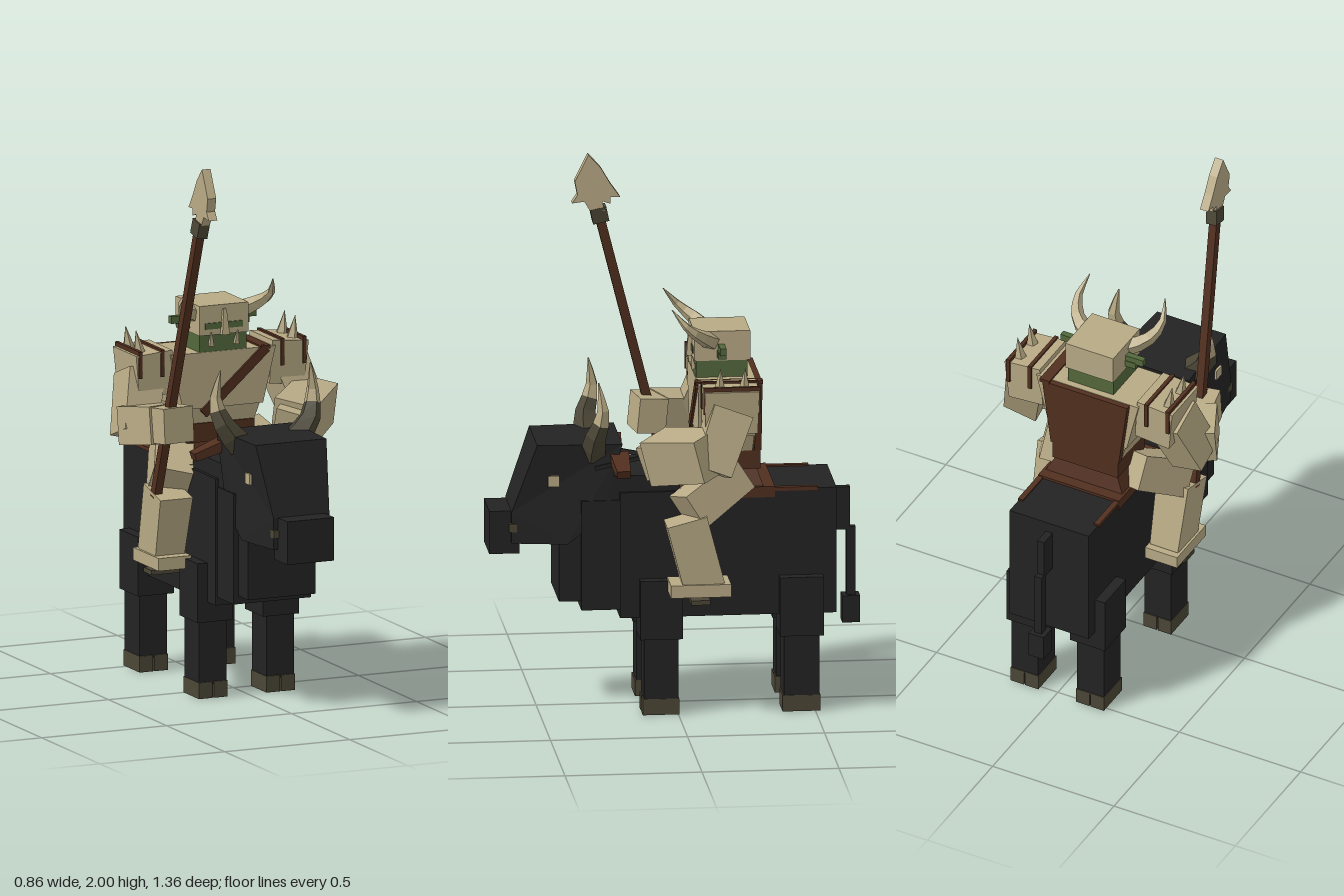
import * as THREE from 'three';

const material = (name, color) => {
  const m = new THREE.MeshStandardMaterial({ color });
  m.name = name;
  return m;
};

export function createModel() {
  const bone = material('bone', 0xb8aa85);
  const hide = material('blackHide', 0x232323);
  const leather = material('leather', 0x512f1e);
  const skin = material('greenSkin', 0x53683c);
  const hoofMat = material('hoof', 0x4b4636);

  const model = new THREE.Group();
  model.name = 'bullRider';
  const beast = new THREE.Group();
  beast.name = 'bull';
  const rider = new THREE.Group();
  rider.name = 'rider';
  model.add(beast, rider);
  model.position.x = -0.007;

  const add = (parent, name, geometry, mat) => {
    const flat = geometry.index ? geometry.toNonIndexed() : geometry;
    flat.computeVertexNormals();
    const mesh = new THREE.Mesh(flat, mat);
    mesh.name = name;
    parent.add(mesh);
    return mesh;
  };
  // Box given by its lower and upper limits
  const box = (parent, name, mat, x0, x1, y0, y1, z0, z1) => {
    const g = new THREE.BoxGeometry(x1 - x0, y1 - y0, z1 - z0);
    g.translate((x0 + x1) / 2, (y0 + y1) / 2, (z0 + z1) / 2);
    return add(parent, name, g, mat);
  };
  // Tapered box running from point a to point b
  const beam = (parent, name, mat, a, b, w0, d0, w1 = w0, d1 = d0) => {
    const from = new THREE.Vector3(...a), to = new THREE.Vector3(...b);
    const dir = to.clone().sub(from), length = dir.length();
    dir.normalize();
    const g = new THREE.BoxGeometry(1, length, 1);
    const p = g.attributes.position;
    for (let i = 0; i < p.count; i++) {
      const end = p.getY(i) > 0;
      p.setX(i, p.getX(i) * (end ? w1 : w0));
      p.setZ(i, p.getZ(i) * (end ? d1 : d0));
    }
    const ref = Math.abs(dir.x) > 0.9 ? new THREE.Vector3(0, 0, 1) : new THREE.Vector3(1, 0, 0);
    const x = ref.addScaledVector(dir, -ref.dot(dir)).normalize();
    const z = x.clone().cross(dir);
    g.applyMatrix4(new THREE.Matrix4().makeBasis(x, dir, z));
    g.translate(...from.add(to).multiplyScalar(0.5).toArray());
    return add(parent, name, g, mat);
  };
  // Side profile of [z, y] points, extruded across x
  const profile = (points, width) => {
    const shape = new THREE.Shape(points.map(([z, y]) => new THREE.Vector2(z, y)));
    const g = new THREE.ExtrudeGeometry(shape, { depth: width, bevelEnabled: false });
    return g.translate(0, 0, -width / 2).rotateY(-Math.PI / 2);
  };
  // Curved horn narrowing to a point, darker over the first rings
  const horn = (parent, name, points, radius, darkRings) => {
    const curve = new THREE.CatmullRomCurve3(points.map(p => new THREE.Vector3(...p)));
    const rings = 6, sides = 5;
    const g = new THREE.TubeGeometry(curve, rings, radius, sides);
    const p = g.attributes.position, v = new THREE.Vector3();
    for (let i = 0; i < p.count; i++) {
      const t = Math.floor(i / (sides + 1)) / rings, c = curve.getPointAt(t);
      v.fromBufferAttribute(p, i).sub(c).multiplyScalar(1 - 0.96 * t ** 1.3).add(c);
      p.setXYZ(i, v.x, v.y, v.z);
    }
    const split = darkRings * sides * 6;
    g.addGroup(0, split, 0);
    g.addGroup(split, rings * sides * 6 - split, 1);
    add(parent, name, g, [hoofMat, bone]);
  };
  // Two mirrored groups, the first on the model's left
  const mirrored = (parent, name, build) => [1, -1].forEach(s => {
    const g = new THREE.Group();
    g.name = (s > 0 ? 'left' : 'right') + name;
    g.scale.x = s;
    parent.add(g);
    build(g);
  });

  // Bull body, chest and neck
  box(beast, 'barrel', hide, -0.163, 0.163, 0.36, 0.83, -0.58, 0.21);
  box(beast, 'chest', hide, -0.155, 0.155, 0.39, 0.8, 0.2, 0.35);
  box(beast, 'brisket', hide, -0.135, 0.135, 0.42, 0.68, 0.34, 0.43);
  box(beast, 'neck', hide, -0.15, 0.15, 0.8, 0.89, -0.01, 0.26);

  // Wedge head, narrower toward the muzzle
  const headShape = profile([[0.2, 1.01], [0.28, 0.73], [0.4, 0.637], [0.6, 0.637], [0.6, 0.755], [0.51, 1.01]], 0.31);
  const hp = headShape.attributes.position;
  for (let i = 0; i < hp.count; i++) {
    const z = hp.getZ(i);
    hp.setX(i, hp.getX(i) * (z > 0.55 ? 0.72 : 1 - Math.max(0, z - 0.2) * 0.28));
  }
  add(beast, 'head', headShape, hide);
  box(beast, 'muzzle', hide, -0.094, 0.094, 0.595, 0.755, 0.57, 0.68);

  // Tail
  box(beast, 'tailBase', hide, -0.014, 0.014, 0.63, 0.79, -0.645, -0.57);
  box(beast, 'tail', hide, -0.014, 0.014, 0.37, 0.64, -0.665, -0.632);
  box(beast, 'tailTuft', hide, -0.031, 0.031, 0.285, 0.385, -0.68, -0.615);

  mirrored(beast, 'BullSide', g => {
    for (const [z0, z1] of [[-0.015, 0.14], [-0.53, -0.37]]) {
      box(g, 'haunch', hide, 0.06, 0.203, 0.285, 0.505, z0, z1);
      box(g, 'leg', hide, 0.08, 0.19, 0.05, 0.3, z0 + 0.015, z1 - 0.015);
      box(g, 'outerToe', hoofMat, 0.138, 0.192, 0, 0.06, z0 + 0.012, z1 - 0.01);
      box(g, 'innerToe', hoofMat, 0.078, 0.132, 0, 0.06, z0 + 0.012, z1 - 0.01);
    }
    horn(g, 'bullHorn', [[0.11, 0.97, 0.3], [0.17, 1.04, 0.3], [0.195, 1.13, 0.275], [0.18, 1.25, 0.29]], 0.052, 3);
    beam(g, 'ear', leather, [0.13, 0.96, 0.21], [0.25, 0.92, 0.205], 0.07, 0.04, 0.05, 0.03);
    box(g, 'eye', bone, 0.138, 0.147, 0.855, 0.895, 0.43, 0.47);
    box(g, 'nostril', hoofMat, 0.09, 0.115, 0.68, 0.71, 0.58, 0.61);
  });

  // Saddle
  box(beast, 'saddle', leather, -0.167, 0.167, 0.8, 0.84, -0.355, -0.01);
  mirrored(beast, 'SaddleStrap', g => {
    box(g, 'rearStrap', leather, 0.146, 0.167, 0.822, 0.836, -0.51, -0.35);
  });
  beam(rider, 'skirt', leather, [0, 0.835, -0.2], [0, 0.91, -0.2], 0.32, 0.23, 0.24, 0.18);
  beam(rider, 'belt', leather, [0, 0.9, -0.2], [0, 0.97, -0.2], 0.27, 0.21);

  // Torso, back cover and diagonal strap
  beam(rider, 'abdomen', bone, [0, 0.95, -0.19], [0, 1.08, -0.185], 0.26, 0.17, 0.34, 0.2);
  beam(rider, 'chestArmour', bone, [0, 1.03, -0.18], [0, 1.237, -0.18], 0.32, 0.21, 0.42, 0.215);
  beam(rider, 'backCover', leather, [0, 0.97, -0.296], [0, 1.235, -0.296], 0.28, 0.025, 0.35, 0.025);
  beam(rider, 'chestStrap', leather, [-0.08, 1.01, -0.073], [0.17, 1.235, -0.069], 0.035, 0.012);
  box(rider, 'shoulderStrap', leather, 0.145, 0.185, 1.23, 1.243, -0.31, -0.064);

  // Rider head
  box(rider, 'face', skin, -0.094, 0.094, 1.235, 1.31, -0.262, -0.075);
  box(rider, 'helmet', bone, -0.098, 0.098, 1.3, 1.41, -0.272, -0.068);
  box(rider, 'eyeSlit', skin, -0.075, 0.075, 1.322, 1.345, -0.07, -0.064);
  beam(rider, 'noseGuard', bone, [0, 1.3, -0.06], [0, 1.395, -0.063], 0.03, 0.025, 0.012, 0.012);
  mirrored(rider, 'HeadSide', g => {
    box(g, 'ear', skin, 0.09, 0.17, 1.335, 1.362, -0.178, -0.155);
    box(g, 'earLobe', skin, 0.09, 0.14, 1.315, 1.34, -0.18, -0.15);
    horn(g, 'helmetHorn', [[0.085, 1.37, -0.13], [0.14, 1.395, -0.1], [0.172, 1.44, -0.04], [0.155, 1.51, 0.02]], 0.034, 0);
    beam(g, 'tusk', bone, [0.05, 1.26, -0.07], [0.053, 1.31, -0.062], 0.018, 0.018, 0.004, 0.004);
  });

  // Shoulder armour, upper arms and legs
  mirrored(rider, 'RiderSide', g => {
    beam(g, 'shoulderPlate', bone, [0.26, 1.09, -0.18], [0.273, 1.25, -0.18], 0.14, 0.19, 0.145, 0.2);
    for (const x of [0.24, 0.328]) box(g, 'shoulderBand', leather, x - 0.007, x + 0.007, 1.16, 1.26, -0.286, -0.077);
    for (const z of [-0.23, -0.14]) {
      const spike = new THREE.ConeGeometry(0.024, 0.09, 5);
      add(g, 'spike', spike.rotateZ(-0.15).translate(0.312, 1.285, z), bone);
    }
    beam(g, 'upperArm', bone, [0.285, 1.16, -0.18], [0.345, 0.95, -0.1], 0.14, 0.15, 0.13, 0.14);
    beam(g, 'thigh', bone, [0.14, 0.89, -0.22], [0.235, 0.77, -0.03], 0.14, 0.13, 0.145, 0.14);
    beam(g, 'shin', bone, [0.245, 0.75, -0.02], [0.245, 0.5, -0.085], 0.13, 0.15, 0.115, 0.15);
    box(g, 'foot', bone, 0.18, 0.312, 0.468, 0.515, -0.18, 0.04);
    box(g, 'stirrup', hoofMat, 0.15, 0.305, 0.438, 0.455, -0.105, -0.035);
  });

  // Left forearm reaching for the reins
  beam(rider, 'leftForearm', bone, [0.385, 1.02, -0.1], [0.21, 0.975, 0.075], 0.15, 0.16, 0.16, 0.17);
  beam(rider, 'leftFist', bone, [0.23, 0.98, 0.055], [0.185, 0.965, 0.1], 0.12, 0.13);
  // Right forearm and fist around the spear
  beam(rider, 'rightForearm', bone, [-0.355, 0.99, -0.11], [-0.29, 1.01, 0.03], 0.14, 0.14, 0.14, 0.14);
  beam(rider, 'rightFist', bone, [-0.285, 1.01, 0.01], [-0.265, 1.02, 0.115], 0.13, 0.13);

  // Reins
  beam(rider, 'leftRein', hide, [0.17, 0.97, 0.1], [0.15, 0.92, 0.3], 0.008, 0.015);
  beam(rider, 'rightRein', hide, [0.17, 0.97, 0.1], [-0.15, 0.92, 0.24], 0.008, 0.015);

  // Spear with leaf-shaped barbed head
  beam(rider, 'spearShaft', leather, [-0.295, 0.73, -0.02], [-0.24, 1.8, 0.252], 0.03, 0.034);
  beam(rider, 'spearBinding', hoofMat, [-0.243, 1.745, 0.238], [-0.238, 1.8, 0.25], 0.042, 0.06);
  const blade = profile([[0.285, 2], [0.335, 1.9], [0.325, 1.85], [0.345, 1.82], [0.3, 1.825], [0.28, 1.79],
    [0.225, 1.79], [0.235, 1.825], [0.205, 1.815], [0.205, 1.84], [0.17, 1.84], [0.205, 1.89], [0.24, 1.95]], 0.034);
  add(rider, 'spearHead', blade.translate(-0.235, 0, 0), bone);

  return model;
}
